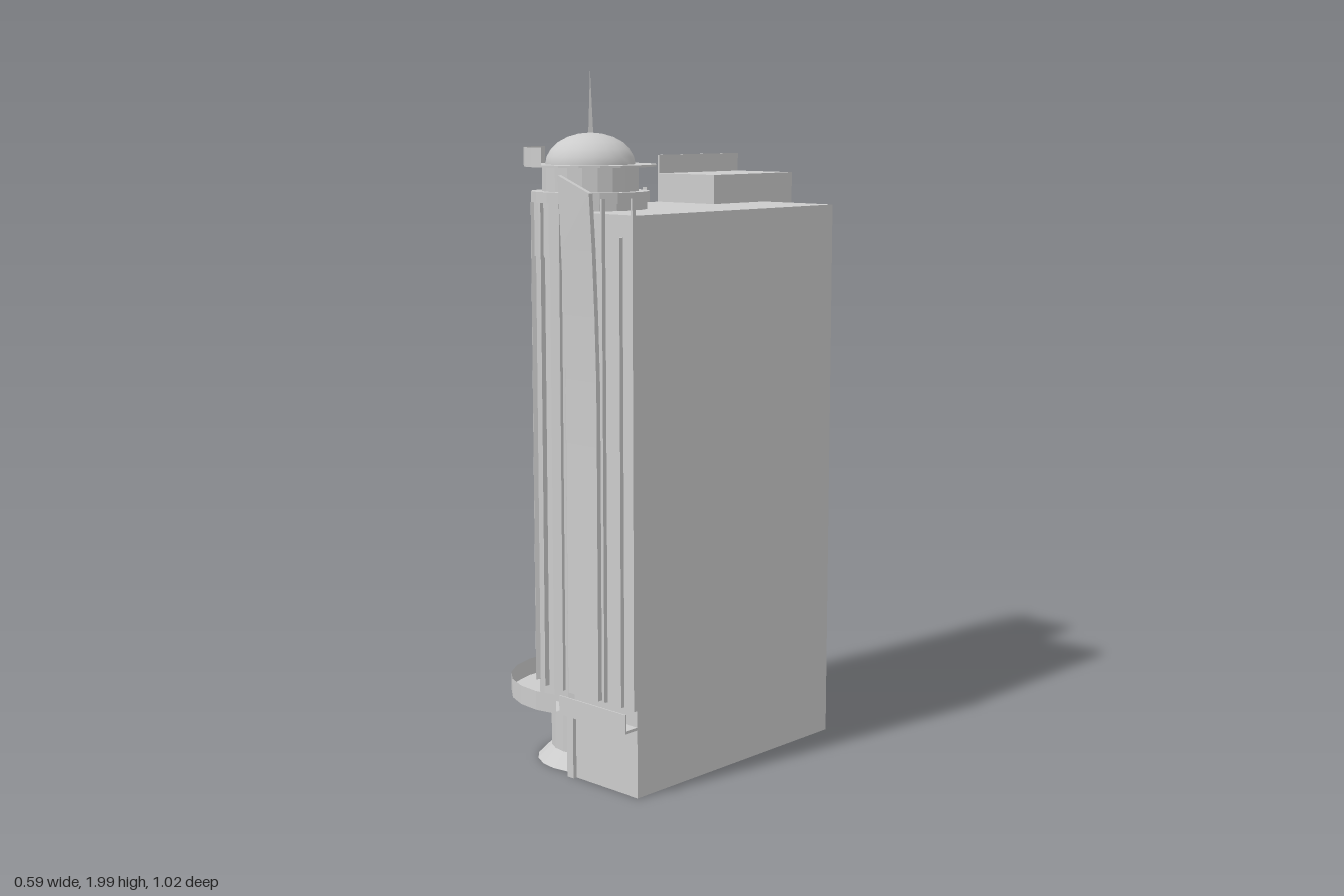
import * as THREE from 'three';

const solid = new THREE.MeshStandardMaterial({ color: 0xcccccc, flatShading: true });
const thin = new THREE.MeshStandardMaterial({ color: 0xcccccc, flatShading: true, side: THREE.DoubleSide });
const smooth = new THREE.MeshStandardMaterial({ color: 0xcccccc, side: THREE.DoubleSide });
const CX = -0.06, CZ = 0.267; // axis of the round corner tower

export function createModel() {
  const model = new THREE.Group();

  const add = (name, geo, mat = solid, parent = model) => {
    const m = new THREE.Mesh(geo, mat);
    m.name = name;
    parent.add(m);
    return m;
  };
  // box from its min and max corners
  const box = (name, x0, x1, y0, y1, z0, z1) =>
    add(name, new THREE.BoxGeometry(x1 - x0, y1 - y0, z1 - z0)
      .translate((x0 + x1) / 2, (y0 + y1) / 2, (z0 + z1) / 2));
  // plan outline (x, z) raised from y0 to y1
  const prism = (name, pts, y0, y1) => {
    const shape = new THREE.Shape(pts.map(([x, z]) => new THREE.Vector2(x, -z)));
    const geo = new THREE.ExtrudeGeometry(shape, { depth: y1 - y0, bevelEnabled: false });
    return add(name, geo.rotateX(-Math.PI / 2).translate(0, y0, 0));
  };
  // outline walls only, open above and below
  const walls = (name, pts, y0, y1) => {
    const pos = [];
    pts.forEach(([x, z], i) => {
      const [u, w] = pts[(i + 1) % pts.length];
      pos.push(x, y0, z, u, y0, w, u, y1, w, x, y0, z, u, y1, w, x, y1, z);
    });
    const geo = new THREE.BufferGeometry();
    geo.setAttribute('position', new THREE.Float32BufferAttribute(pos, 3));
    geo.computeVertexNormals();
    return add(name, geo, thin);
  };
  const plan = back => [[0.04, 0.44], [0.29, 0.44], [0.29, -0.38], [0.025, -0.38],
    [0.025, back], [-0.2, back], [-0.2, 0.17], [CX, CZ]];

  // Main building: hollow ground floor and overhanging upper floors
  walls('groundFloor', plan(-0.48), 0, 0.25);
  prism('upperFloors', plan(-0.51), 0.25, 1.6);
  box('penthouse', -0.2, 0.025, 1.6, 1.685, -0.51, -0.155);
  box('penthouseParapet', -0.203, -0.197, 1.6, 1.74, -0.51, -0.155);

  // Corner tower, stacked from the ground up
  const tower = new THREE.Group();
  tower.name = 'cornerTower';
  tower.position.set(CX, 0, CZ);
  model.add(tower);
  const drum = (name, rTop, rBottom, y0, y1, mat = solid) =>
    add(name, new THREE.CylinderGeometry(rTop, rBottom, y1 - y0, 20)
      .translate(0, (y0 + y1) / 2, 0), mat, tower);
  drum('towerFoot', 0.125, 0.165, 0, 0.04);
  drum('lowerDrum', 0.125, 0.125, 0.04, 0.2);
  drum('towerShaft', 0.158, 0.158, 0.2, 1.47);
  drum('towerUpperBand', 0.162, 0.162, 1.47, 1.62);
  drum('cornice', 0.168, 0.168, 1.62, 1.65);
  drum('lantern', 0.137, 0.137, 1.65, 1.72);
  drum('domeBrim', 0.187, 0.187, 1.718, 1.724);
  add('dome', new THREE.SphereGeometry(0.128, 18, 6, 0, Math.PI * 2, 0, Math.PI / 2)
    .scale(1, 0.7, 1).translate(0, 1.722, 0), smooth, tower);
  add('spire', new THREE.ConeGeometry(0.009, 0.19, 3).translate(0, 1.89, 0), solid, tower);
  add('brimScreen', new THREE.CylinderGeometry(0.187, 0.187, 0.05, 6, 1, true, -Math.PI / 2, Math.PI / 2)
    .translate(0, 1.747, 0), thin, tower);

  // Curved canopy round the tower: floor plus rim
  const start = -2.29, sweep = 2.635;
  add('canopyFloor', new THREE.RingGeometry(0.12, 0.241, 9, 1, start - Math.PI / 2, sweep)
    .rotateX(-Math.PI / 2).translate(0, 0.2, 0), thin, tower);
  add('canopyRim', new THREE.CylinderGeometry(0.241, 0.241, 0.055, 9, 1, true, start, sweep)
    .translate(0, 0.2225, 0), thin, tower);

  // Slender fins on the tower
  for (let i = 0; i < 6; i++) {
    const fin = add('towerFin', new THREE.BoxGeometry(0.004, 1.38, 0.014)
      .translate(0, 0.93, 0.163), solid, tower);
    fin.rotation.y = -1.85 + i * 0.42;
  }

  // Straight canopies along the front and the right flank
  box('frontCanopyFloor', 0.03, 0.29, 0.195, 0.203, 0.44, 0.49);
  box('frontCanopyRim', 0.03, 0.29, 0.195, 0.25, 0.486, 0.49);
  box('sideCanopyFloor', -0.24, -0.2, 0.195, 0.203, -0.51, 0.13);
  box('sideCanopyRim', -0.24, -0.236, 0.195, 0.25, -0.51, 0.13);

  // Entrance piers either side of the tower foot
  box('frontPier', 0.02, 0.045, 0, 0.2, 0.425, 0.452);
  box('sidePier', -0.215, -0.195, 0, 0.2, 0.15, 0.175);

  // Thin facade ribs that rise past the roof
  [[0.17, 1.64], [0.235, 1.54], [0.287, 1.645]].forEach(([x, top]) =>
    box('frontRib', x - 0.003, x + 0.003, 0.25, top, 0.44, 0.453));
  for (let i = 0; i < 7; i++) {
    const z = -0.345 + i * 0.06;
    box('sideRib', -0.215, -0.2, 0.25, i < 4 ? 1.6 : 1.645, z - 0.002, z + 0.002);
  }

  // Tall sails that lean outward at the top, with a sloping top edge
  const sail = (x, z, turn, high, width) => {
    const geo = new THREE.BoxGeometry(width, 1.43, 0.014, 1, 8, 1).translate(0, 0.965, 0.007);
    const p = geo.attributes.position;
    for (let i = 0; i < p.count; i++) {
      const y = p.getY(i), t = Math.max(0, (y - 1.1) / 0.58);
      p.setZ(i, p.getZ(i) + 0.024 * t ** 1.5);
      if (y > 1.6) p.setY(i, y + (p.getX(i) * high > 0 ? 0.02 : -0.025));
    }
    geo.computeVertexNormals();
    const m = add('sail', geo, thin);
    m.position.set(x, 0, z);
    m.rotation.y = turn;
  };
  sail(0.09, 0.44, 0, -1, 0.12);
  sail(-0.203, 0.11, -Math.PI / 2, 1, 0.125);
  sail(-0.203, -0.445, -Math.PI / 2, -1, 0.13);

  return model;
}
